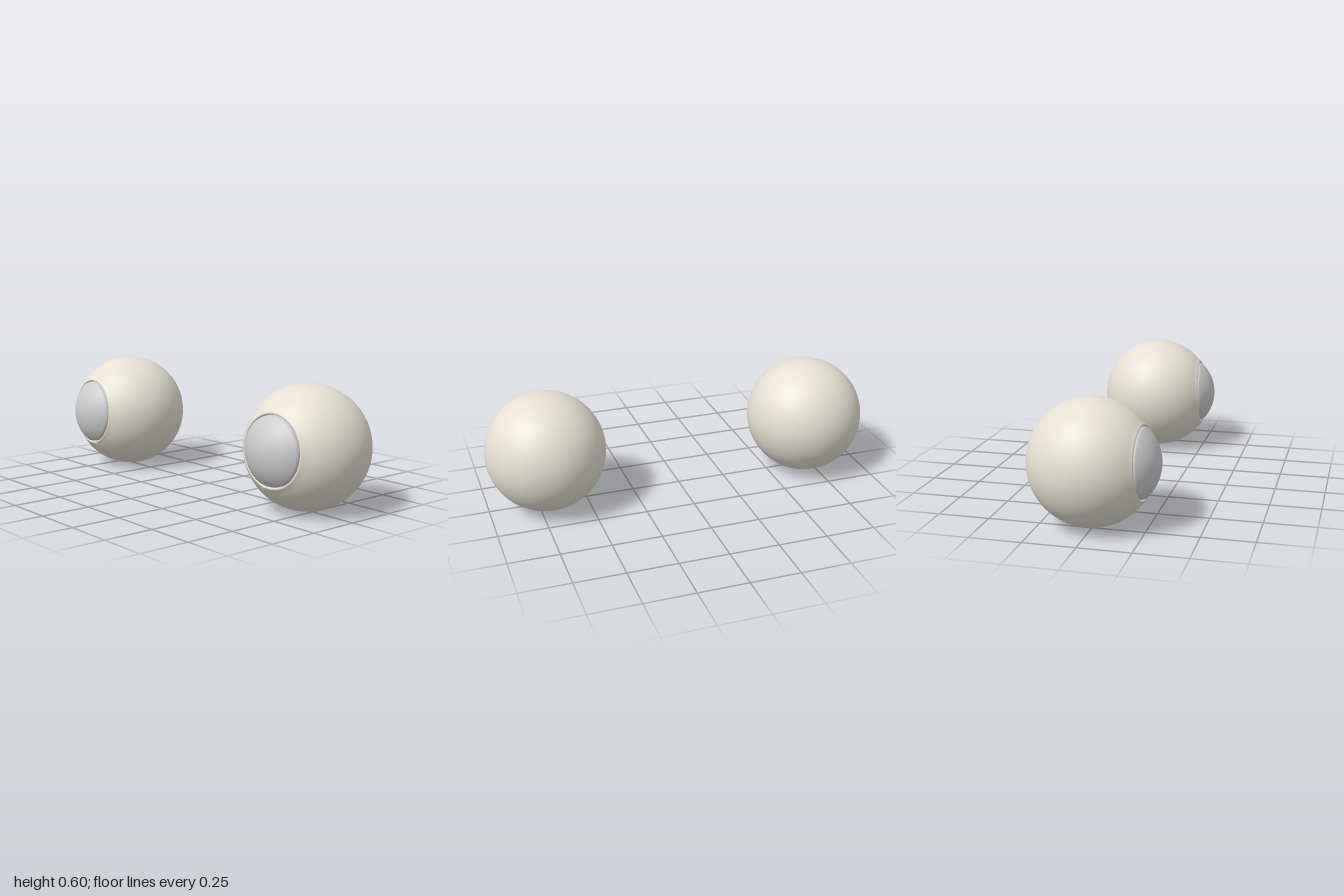
import * as THREE from 'three';
import { mergeVertices } from 'three/addons/utils/BufferGeometryUtils.js';

const R = 0.3;          // eyeball radius
const DOME_R = 0.222;   // iris dome radius
const DOME_Z = 0.1;     // iris dome centre along the gaze axis

// Revolve an [r, axial] profile round the z axis, welded for smooth normals
function revolve(points, deform) {
  const geo = new THREE.LatheGeometry(points, 128, Math.PI);
  geo.rotateX(Math.PI / 2);
  geo.deleteAttribute('uv');
  geo.deleteAttribute('normal');
  const welded = mergeVertices(geo, 1e-5);
  if (deform) deform(welded.attributes.position);
  welded.computeVertexNormals();
  return welded;
}

// Arc of a sphere from angle a to angle b, both measured from the front pole
function arc(radius, centre, a, b, steps) {
  return Array.from({ length: steps + 1 }, (_, i) => {
    const t = a + (b - a) * i / steps;
    return new THREE.Vector2(Math.max(0, radius * Math.sin(t)), centre + radius * Math.cos(t));
  });
}

const v2 = ([r, z]) => new THREE.Vector2(r, z);

function createEye(side) {
  const eye = new THREE.Group();
  eye.name = side > 0 ? 'leftEye' : 'rightEye';

  // Ball: sphere opening at the front with a slightly raised, rolled-in lip
  const ballProfile = [
    ...arc(R, 0, Math.PI, Math.asin(0.193 / R), 64),
    ...[[0.188, 0.2345], [0.183, 0.239], [0.178, 0.2445], [0.174, 0.2475],
      [0.17, 0.2475], [0.1675, 0.245], [0.1665, 0.24], [0.166, 0.215]].map(v2),
  ];
  // Small raised corner on the lower inner side of the lip
  const corner = new THREE.Vector3(-0.043 * side, -0.183, 0.234);
  const p = new THREE.Vector3();
  const ball = new THREE.Mesh(
    revolve(ballProfile, (pos) => {
      for (let i = 0; i < pos.count; i++) {
        p.fromBufferAttribute(pos, i);
        if (Math.hypot(p.x, p.y) < 0.172) continue;
        const push = 0.005 * Math.exp(-p.distanceToSquared(corner) / (2 * 0.01 ** 2));
        p.setLength(p.length() + push);
        pos.setXYZ(i, p.x, p.y, p.z);
      }
    }),
    new THREE.MeshStandardMaterial({ color: 0xe5e0d2, side: THREE.DoubleSide }),
  );
  ball.name = 'eyeball';

  // Iris: shallow dome with a short wall sinking into the opening
  const irisProfile = [
    ...[[0.162, 0.215], [0.1635, 0.242]].map(v2),
    ...arc(DOME_R, DOME_Z, Math.asin(0.162 / DOME_R), 0, 24),
  ];
  const iris = new THREE.Mesh(
    revolve(irisProfile),
    new THREE.MeshStandardMaterial({ color: 0xcccccc, side: THREE.DoubleSide }),
  );
  iris.name = 'iris';

  // Floor closing the groove between the iris and the lip
  const groove = new THREE.Mesh(
    new THREE.RingGeometry(0.155, 0.17, 96),
    new THREE.MeshStandardMaterial({ color: 0xcccccc, side: THREE.DoubleSide }),
  );
  groove.name = 'irisGroove';
  groove.position.z = 0.222;

  eye.add(ball, iris, groove);
  eye.position.set(0.7 * side, R, -0.01);
  // Gaze turned a little up and outward
  eye.rotation.set(-0.06, 0.06 * side, 0);
  return eye;
}

export function createModel() {
  const model = new THREE.Group();
  model.name = 'eyes';
  for (const side of [1, -1]) model.add(createEye(side));
  return model;
}
